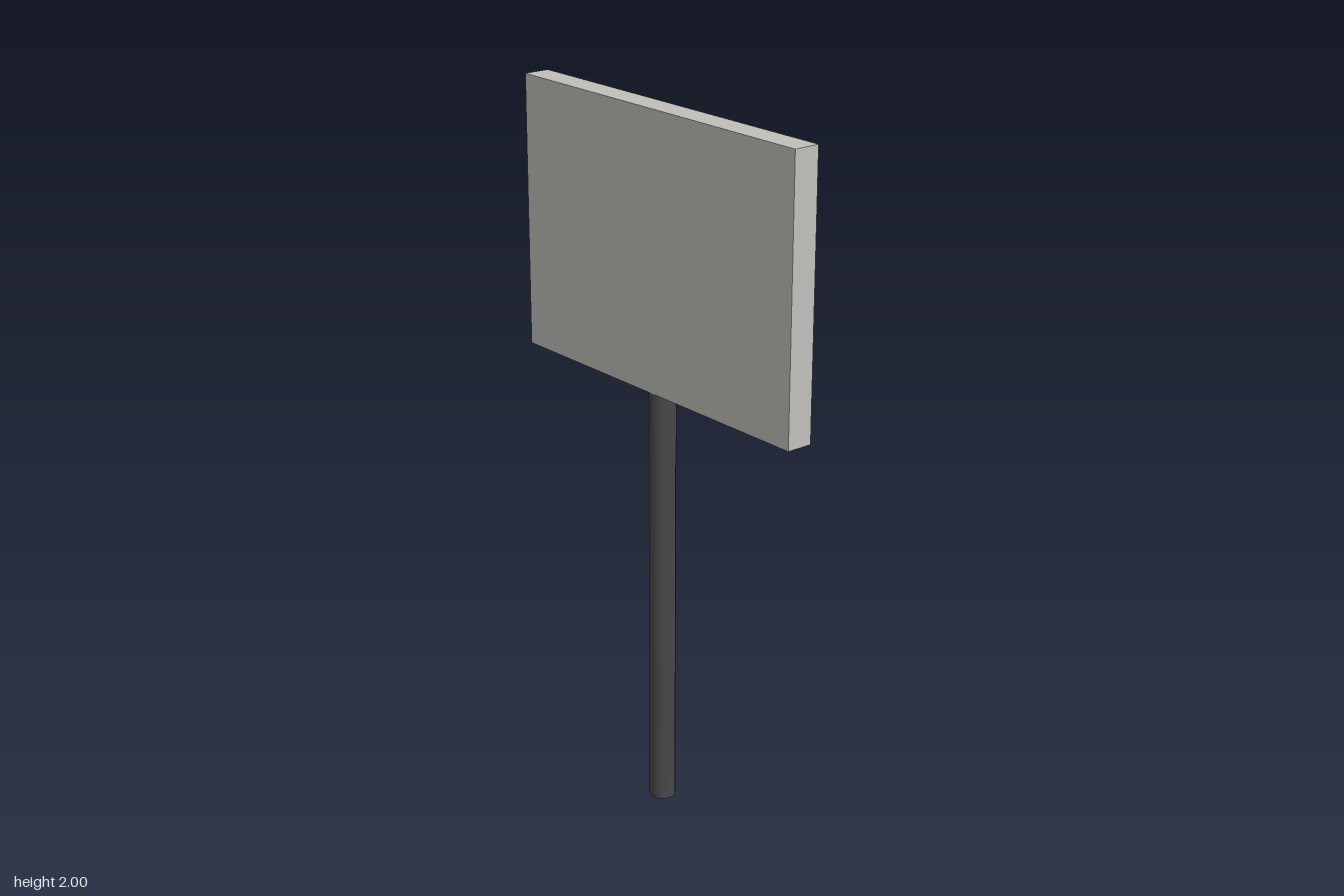
import * as THREE from 'three';

export function createModel() {
  const model = new THREE.Group();
  model.name = 'signpost';

  const boardGrey = new THREE.MeshStandardMaterial({ color: 0xc0c0bb });
  boardGrey.name = 'board grey';
  const postGrey = new THREE.MeshStandardMaterial({ color: 0x484848 });
  postGrey.name = 'post dark grey';

  const boardBottom = 1.232;
  const thickness = 0.075;

  // Blank rectangular board
  const boardHeight = 2 - boardBottom;
  const board = new THREE.Mesh(new THREE.BoxGeometry(1.075, boardHeight, thickness), boardGrey);
  board.name = 'board';
  board.position.y = boardBottom + boardHeight / 2;
  model.add(board);

  // Round post, as thick as the board, reaching its underside
  const post = new THREE.Mesh(
    new THREE.CylinderGeometry(thickness / 2, thickness / 2, boardBottom, 12),
    postGrey
  );
  post.name = 'post';
  post.position.y = boardBottom / 2;
  model.add(post);

  return model;
}
